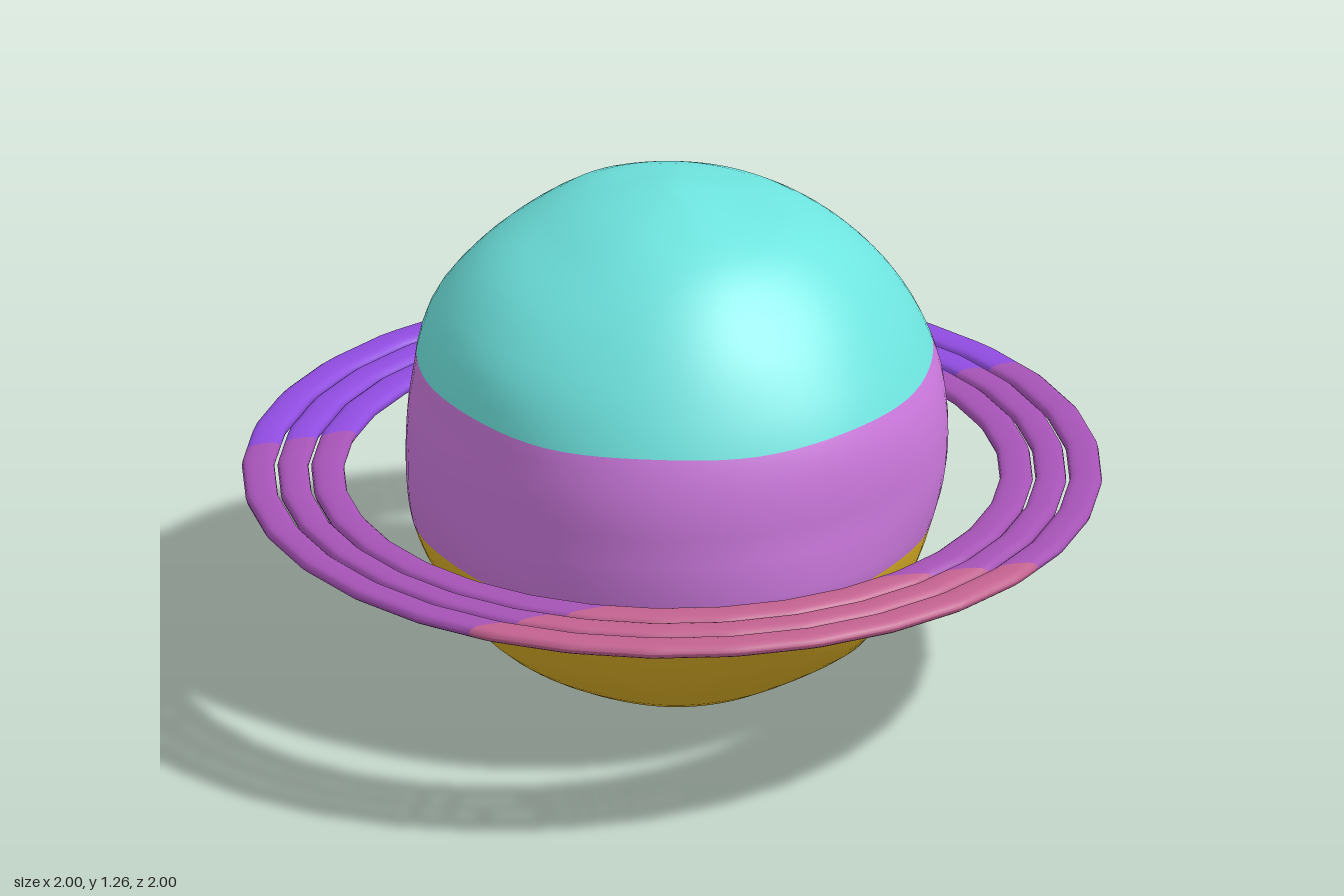
import * as THREE from 'three';

const mat = (name, color) => Object.assign(new THREE.MeshStandardMaterial({ color }), { name });

// Closed-around grid: rows run upward (or around a profile), columns run around y.
function gridGeometry(rows, cols, point, wrapCols, bands = []) {
  const pos = [], index = [], w = wrapCols ? cols : cols + 1;
  for (let j = 0; j <= rows; j++)
    for (let i = 0; i < w; i++) pos.push(...point(j, i / cols));
  for (let j = 0; j < rows; j++)
    for (let i = 0; i < cols; i++) {
      const n = (i + 1) % w, a = j * w + i, b = j * w + n, c = a + w, d = b + w;
      index.push(a, c, b, b, c, d);
    }
  const geo = new THREE.BufferGeometry();
  geo.setAttribute('position', new THREE.Float32BufferAttribute(pos, 3));
  geo.setIndex(index);
  let start = 0;
  bands.forEach((n, k) => {
    geo.addGroup(start * cols * 6, n * cols * 6, k);
    start += n;
  });
  geo.computeVertexNormals();
  return geo;
}

// Lumpy planet radii every 15 degrees of latitude, pole to pole, at +x, +z, -x, -z
const CENTER = 0.632;
const PROFILES = [
  [0.63, 0.61, 0.622, 0.665, 0.641, 0.62, 0.635, 0.65, 0.647, 0.643, 0.638, 0.616, 0.63],
  [0.63, 0.62, 0.63, 0.63, 0.645, 0.665, 0.635, 0.635, 0.63, 0.635, 0.645, 0.635, 0.63],
  [0.63, 0.62, 0.626, 0.636, 0.628, 0.635, 0.625, 0.62, 0.645, 0.64, 0.62, 0.625, 0.63],
  [0.63, 0.615, 0.63, 0.65, 0.64, 0.605, 0.61, 0.625, 0.63, 0.64, 0.645, 0.625, 0.63],
];

function planetRadius(lat, lon) {
  const u = THREE.MathUtils.clamp((lat / Math.PI + 0.5) * 12, 0, 12);
  const k = Math.min(11, Math.floor(u));
  const at = (p) => THREE.MathUtils.lerp(p[k], p[k + 1], u - k);
  const q = lon / (Math.PI / 2), s = Math.floor(q);
  const blend = Math.sin((q - s) * Math.PI / 2) ** 2;
  const base = THREE.MathUtils.lerp(at(PROFILES[s % 4]), at(PROFILES[(s + 1) % 4]), blend);
  const lumps = Math.sin(2 * lon) * Math.cos(lat) ** 2
    * (Math.sin(5 * lon + 4 * lat) + Math.sin(3 * lon - 7 * lat));
  return base + 0.005 * lumps;
}

// Latitude at which the surface reaches height y
function latAt(y, lon) {
  let lat = 0;
  for (let n = 0; n < 10; n++) lat = Math.asin((y - CENTER) / planetRadius(lat, lon));
  return lat;
}

function buildPlanet(materials) {
  const bands = [18, 12, 18];
  const point = (j, v) => {
    const lon = v * Math.PI * 2;
    const low = latAt(0.465 + 0.003 * Math.sin(9 * lon), lon);
    const high = latAt(0.848 + 0.004 * Math.sin(7 * lon), lon);
    const lat = j <= 18 ? THREE.MathUtils.lerp(-Math.PI / 2, low, j / 18)
      : j <= 30 ? THREE.MathUtils.lerp(low, high, (j - 18) / 12)
        : THREE.MathUtils.lerp(high, Math.PI / 2, (j - 30) / 18);
    const r = planetRadius(lat, lon), c = r * Math.cos(lat);
    return [c * Math.cos(lon), CENTER + r * Math.sin(lat), c * Math.sin(lon)];
  };
  const planet = new THREE.Mesh(gridGeometry(48, 80, point, true, bands), materials);
  planet.name = 'planet';
  return planet;
}

// One coloured arc of a flattened ring, cut along straight lines seen from above
function ringArc(inner, outer, from, to, material, name) {
  const mid = (inner + outer) / 2, half = (outer - inner) / 2;
  const sides = 16, facet = Math.PI * 2 / 32;
  const soft = (x) => Math.sign(x) * Math.abs(x) ** 0.75;
  const point = (j, v) => {
    const phi = j / sides * Math.PI * 2;
    const r = mid + half * soft(Math.cos(phi));
    const lon = THREE.MathUtils.lerp(from(r), to(r), v);
    const part = THREE.MathUtils.euclideanModulo(lon, facet) - facet / 2;
    const flat = r * Math.cos(facet / 2) / Math.cos(part);
    return [flat * Math.cos(lon), 0.017 * soft(Math.sin(phi)), flat * Math.sin(lon)];
  };
  const mesh = new THREE.Mesh(gridGeometry(sides, 48, point, false), material);
  mesh.name = name;
  return mesh;
}

export function createModel() {
  const model = new THREE.Group();
  model.name = 'ringedPlanet';

  const gold = mat('gold', 0xdcb026);
  const orchid = mat('orchid', 0xcb78dc);
  const turquoise = mat('turquoise', 0x6ee4df);
  const rose = mat('rose', 0xc36290);
  const purple = mat('purple', 0xa653b6);
  const violet = mat('violet', 0x904ce0);

  model.add(buildPlanet([gold, orchid, turquoise]));

  // Colour borders on the rings, as angles depending on radius
  const frontLeft = (r) => 0.119 + Math.asin(0.7 / r);
  const frontRight = (r) => Math.PI - Math.asin(0.67 / r);
  const backRight = (r) => Math.PI + Math.asin(0.44 / r);
  const backLeft = (r) => Math.PI * 2 - Math.asin(0.27 / r);
  const backLeftStart = (r) => backLeft(r) - Math.PI * 2;

  const rings = [['innerRing', 0.762, 0.839], ['middleRing', 0.845, 0.917], ['outerRing', 0.924, 1]];
  for (const [name, inner, outer] of rings) {
    const ring = new THREE.Group();
    ring.name = name;
    ring.position.y = 0.54;
    ring.add(
      ringArc(inner, outer, frontLeft, frontRight, rose, 'frontArc'),
      ringArc(inner, outer, frontRight, backRight, purple, 'rightArc'),
      ringArc(inner, outer, backRight, backLeft, violet, 'backArc'),
      ringArc(inner, outer, backLeftStart, frontLeft, purple, 'leftArc'),
    );
    model.add(ring);
  }
  return model;
}
